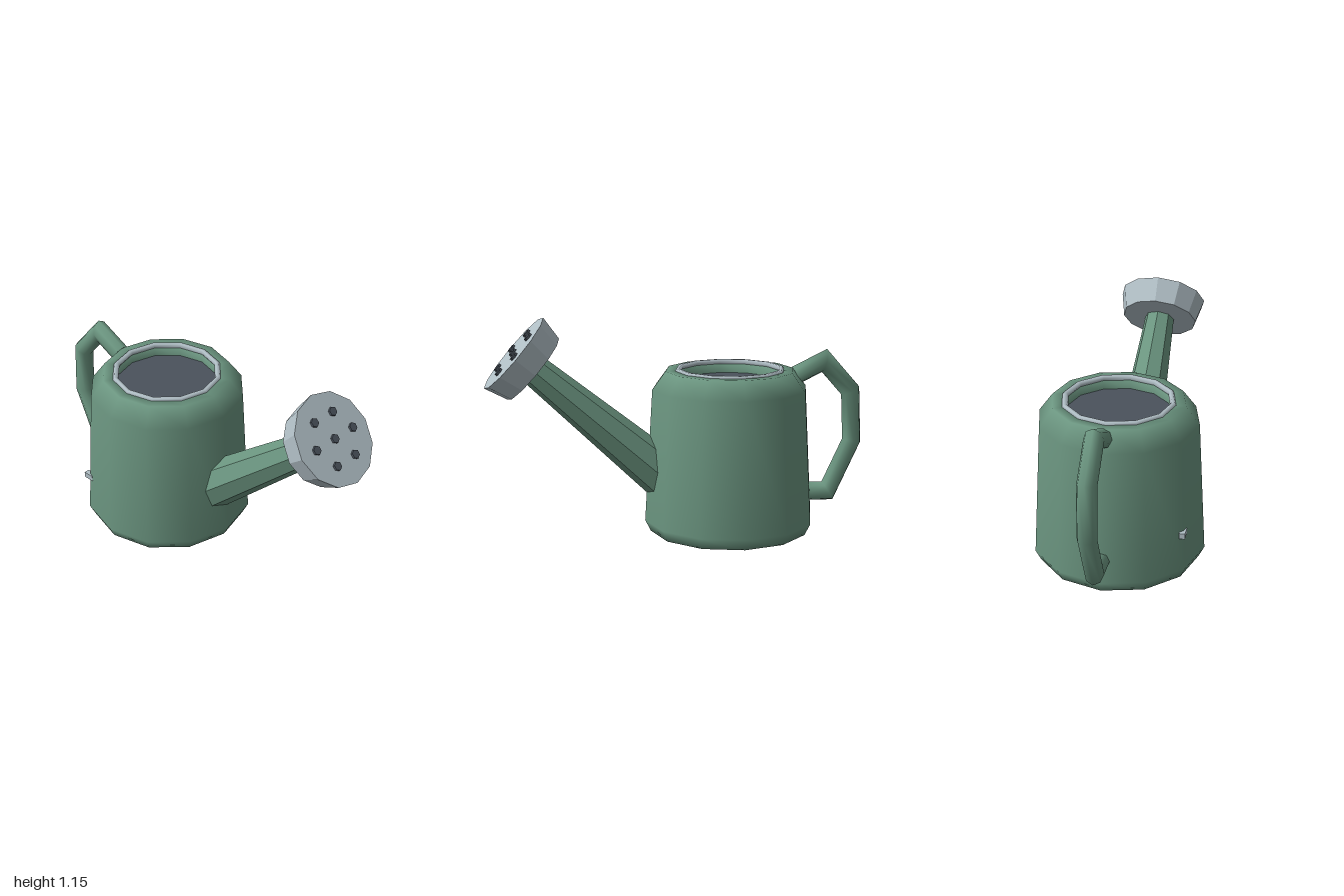
import * as THREE from 'three';

const paint = (name, color) => {
  const m = new THREE.MeshStandardMaterial({ color });
  m.name = name;
  return m;
};

// Facet a geometry so each face has its own normal
const faceted = (geo) => {
  const g = geo.toNonIndexed();
  g.computeVertexNormals();
  return g;
};

// Mitred tube along a path in the xy plane, with closed ends
function bentTube(path, radius, sides) {
  const pts = path.map(([x, y]) => new THREE.Vector2(x, y));
  const pos = [], index = [];
  const last = pts.length - 1;
  const addRing = (i) => {
    const start = pos.length / 3;
    const before = pts[Math.max(i, 1)].clone().sub(pts[Math.max(i, 1) - 1]).normalize();
    const k = Math.min(i, last - 1);
    const after = pts[k + 1].clone().sub(pts[k]).normalize();
    const t = before.clone().add(after).normalize();
    const miter = radius / t.dot(after);
    for (let j = 0; j < sides; j++) {
      const a = (j / sides) * Math.PI * 2;
      const n = Math.cos(a) * miter;
      pos.push(pts[i].x - t.y * n, pts[i].y + t.x * n, Math.sin(a) * radius);
    }
    return start;
  };
  const rings = pts.map((_, i) => addRing(i));
  for (let i = 0; i < last; i++) {
    for (let j = 0; j < sides; j++) {
      const a = rings[i] + j, b = rings[i] + (j + 1) % sides;
      const c = rings[i + 1] + j, d = rings[i + 1] + (j + 1) % sides;
      index.push(a, b, c, b, d, c);
    }
  }
  const s = addRing(0), e = addRing(last);
  for (let j = 1; j < sides - 1; j++) index.push(s, s + j + 1, s + j, e, e + j, e + j + 1);
  const geo = new THREE.BufferGeometry();
  geo.setAttribute('position', new THREE.Float32BufferAttribute(pos, 3));
  geo.setIndex(index);
  geo.computeVertexNormals();
  return geo;
}

export function createModel() {
  const green = paint('green enamel', 0x6b9580);
  const silver = paint('pale metal', 0xb0bec5);
  const dark = paint('dark interior', 0x4a525c);

  const model = new THREE.Group();
  model.name = 'wateringCan';
  const add = (name, geo, mat, parent, x = 0, y = 0, z = 0) => {
    const mesh = new THREE.Mesh(geo, mat);
    mesh.name = name;
    mesh.position.set(x, y, z);
    parent.add(mesh);
    return mesh;
  };
  const cx = -0.28;

  // Body with chamfered foot, rounded shoulder and inner neck
  const profile = [
    [0, 0], [0.42, 0], [0.45, 0.06], [0.41, 0.76], [0.34, 0.855], [0.265, 0.855], [0.265, 0.78],
  ].map(([r, y]) => new THREE.Vector2(r, y));
  add('body', new THREE.LatheGeometry(profile, 12), green, model, cx);

  // Dark opening and metal rim
  add('opening', new THREE.CircleGeometry(0.266, 12).rotateX(-Math.PI / 2), dark, model, cx, 0.795);
  add('rim', new THREE.TorusGeometry(0.275, 0.016, 6, 12).rotateX(Math.PI / 2), silver, model, cx, 0.853);

  // Small metal tab on the front of the body
  add('tab', new THREE.BoxGeometry(0.06, 0.03, 0.03), silver, model, -0.502, 0.263, 0.375);

  // Handle
  const handlePath = [
    [-0.635, 0.815], [-0.79, 0.89], [-0.935, 0.725], [-0.948, 0.455], [-0.82, 0.18], [-0.71, 0.182],
  ];
  add('handle', bentTube(handlePath, 0.05, 8), green, model);

  // Spout assembly, its local y running along the spout up to the back of the rose
  const spout = new THREE.Group();
  spout.name = 'spoutAssembly';
  spout.position.set(0.742, 0.885, 0);
  spout.rotation.z = -Math.atan2(0.755, 0.655);
  model.add(spout);
  add('spout', faceted(new THREE.CylinderGeometry(0.08, 0.132, 0.98, 8)), green, spout, 0, -0.47);
  add('rose', faceted(new THREE.CylinderGeometry(0.235, 0.204, 0.13, 12)), silver, spout, 0, 0.065);

  // Spray holes: one in the middle, six around it
  const holeGeo = faceted(new THREE.CylinderGeometry(0.023, 0.023, 0.024, 6).rotateY(Math.PI / 6));
  add('sprayHole', holeGeo, dark, spout, 0, 0.13);
  for (let i = 0; i < 6; i++) {
    const a = (i / 6) * Math.PI * 2;
    add('sprayHole', holeGeo, dark, spout, Math.sin(a) * 0.133, 0.13, Math.cos(a) * 0.133);
  }
  return model;
}
